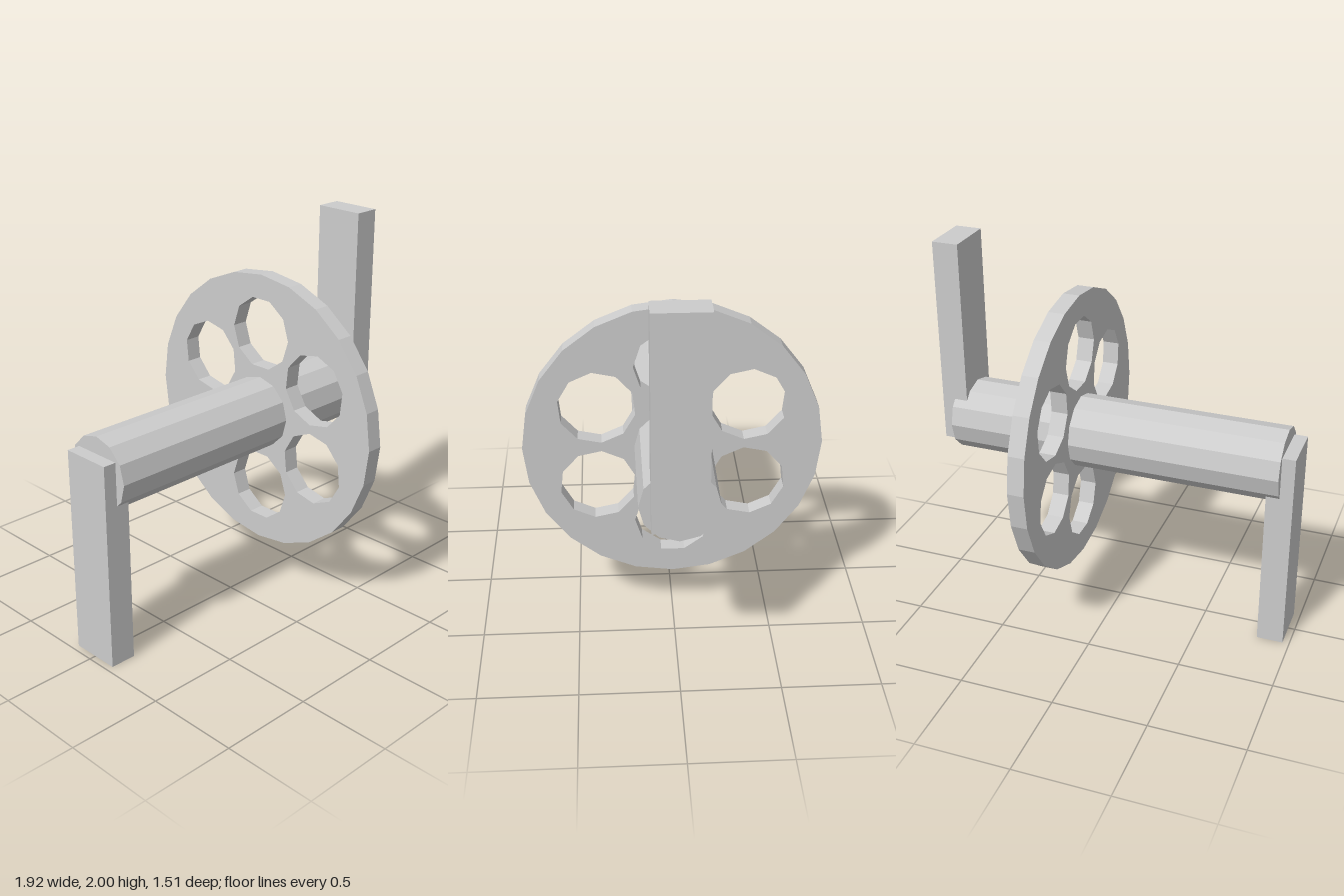
import * as THREE from 'three';

const AXLE_Y = 1.0025;

// Points of a regular polygon, counter-clockwise
function polygon(sides, radius, cx = 0, cy = 0, turn = 0) {
  return Array.from({ length: sides }, (_, i) => {
    const a = turn + (i / sides) * Math.PI * 2;
    return new THREE.Vector2(cx + radius * Math.cos(a), cy + radius * Math.sin(a));
  });
}

export function createModel() {
  const group = new THREE.Group();
  const gray = new THREE.MeshStandardMaterial({ color: 0xcccccc, flatShading: true });
  gray.name = 'gray';

  const add = (name, geometry, x, y) => {
    const mesh = new THREE.Mesh(geometry, gray);
    mesh.name = name;
    mesh.position.set(x, y, 0);
    group.add(mesh);
  };

  // Twelve-sided axle along x
  const axle = new THREE.CylinderGeometry(0.194, 0.194, 1.785, 12);
  axle.rotateZ(Math.PI / 2);
  add('axle', axle, -0.002, AXLE_Y);

  // Sprocket disc with a ring of six ten-sided holes
  const disc = new THREE.Shape(polygon(24, 0.757));
  for (let i = 0; i < 6; i++) {
    const turn = (i * Math.PI) / 3;
    const a = turn - Math.PI / 2;
    disc.holes.push(new THREE.Path(
      polygon(10, 0.196, 0.438 * Math.cos(a), 0.438 * Math.sin(a), turn)));
  }
  const wheel = new THREE.ExtrudeGeometry(disc, { depth: 0.088, bevelEnabled: false });
  wheel.translate(0, 0, -0.044);
  wheel.rotateY(Math.PI / 2);
  add('sprocketDisc', wheel, 0.265, AXLE_Y);

  // Crank arms, pointing in opposite directions
  const arm = new THREE.BoxGeometry(0.14, 1.104, 0.272);
  add('leftCrankArm', arm, 0.89, 1.448);
  add('rightCrankArm', arm, -0.894, 0.552);

  return group;
}
